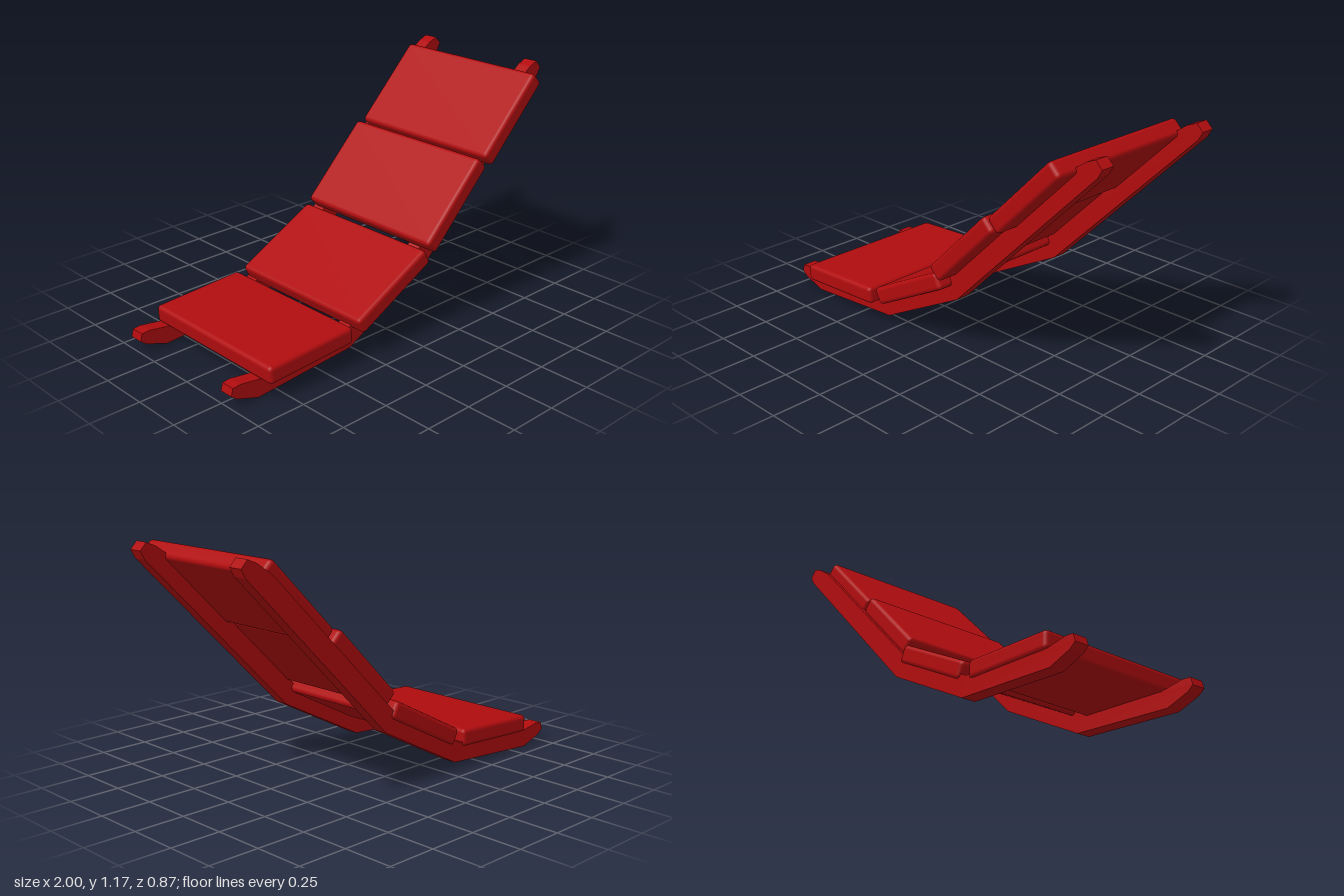
import * as THREE from 'three';
import { RoundedBoxGeometry } from 'three/addons/geometries/RoundedBoxGeometry.js';

// Side profile of a rail: underside from left to right, then back along the top
const RAIL_PROFILE = [
  [-1, 0.065], [-0.97, 0.042], [-0.853, 0.003], [-0.307, 0.043], [0.175, 0.294], [0.9, 1.02],
  [0.975, 1.095], [0.997, 1.135], [0.963, 1.17], [0.915, 1.15], [0.835, 1.095],
  [0.115, 0.378], [-0.335, 0.138], [-0.84, 0.09], [-0.95, 0.106], [-0.99, 0.102],
];
const RAIL_WIDTH = 0.072;

// Slats: centre x, y, z and tilt in degrees
const SLATS = [
  [-0.602, 0.142, -0.018, 3],
  [-0.09, 0.283, -0.018, 27.5],
  [0.297, 0.61, 0.006, 45],
  [0.672, 0.955, 0.014, 45],
];

export function createModel() {
  const group = new THREE.Group();
  group.name = 'curvedSlatPanel';
  const red = new THREE.MeshStandardMaterial({ color: 0xb00c0e });
  const redFlat = red.clone();
  redFlat.flatShading = true;

  // Two bent rails underneath
  const shape = new THREE.Shape(RAIL_PROFILE.map(([x, y]) => new THREE.Vector2(x, y)));
  const railGeometry = new THREE.ExtrudeGeometry(shape, { depth: RAIL_WIDTH, bevelEnabled: false });
  railGeometry.translate(0, 0, -RAIL_WIDTH / 2);
  for (const [name, z] of [['frontRail', 0.286], ['backRail', -0.389]]) {
    const rail = new THREE.Mesh(railGeometry, redFlat);
    rail.name = name;
    rail.position.z = z;
    group.add(rail);
  }

  // Four wide slats with softened edges, following the bend
  const slatGeometry = new RoundedBoxGeometry(0.49, 0.086, 0.835, 2, 0.02);
  SLATS.forEach(([x, y, z, tilt], i) => {
    const slat = new THREE.Mesh(slatGeometry, red);
    slat.name = `slat${i + 1}`;
    slat.position.set(x, y, z);
    slat.rotation.z = THREE.MathUtils.degToRad(tilt);
    group.add(slat);
  });

  return group;
}
